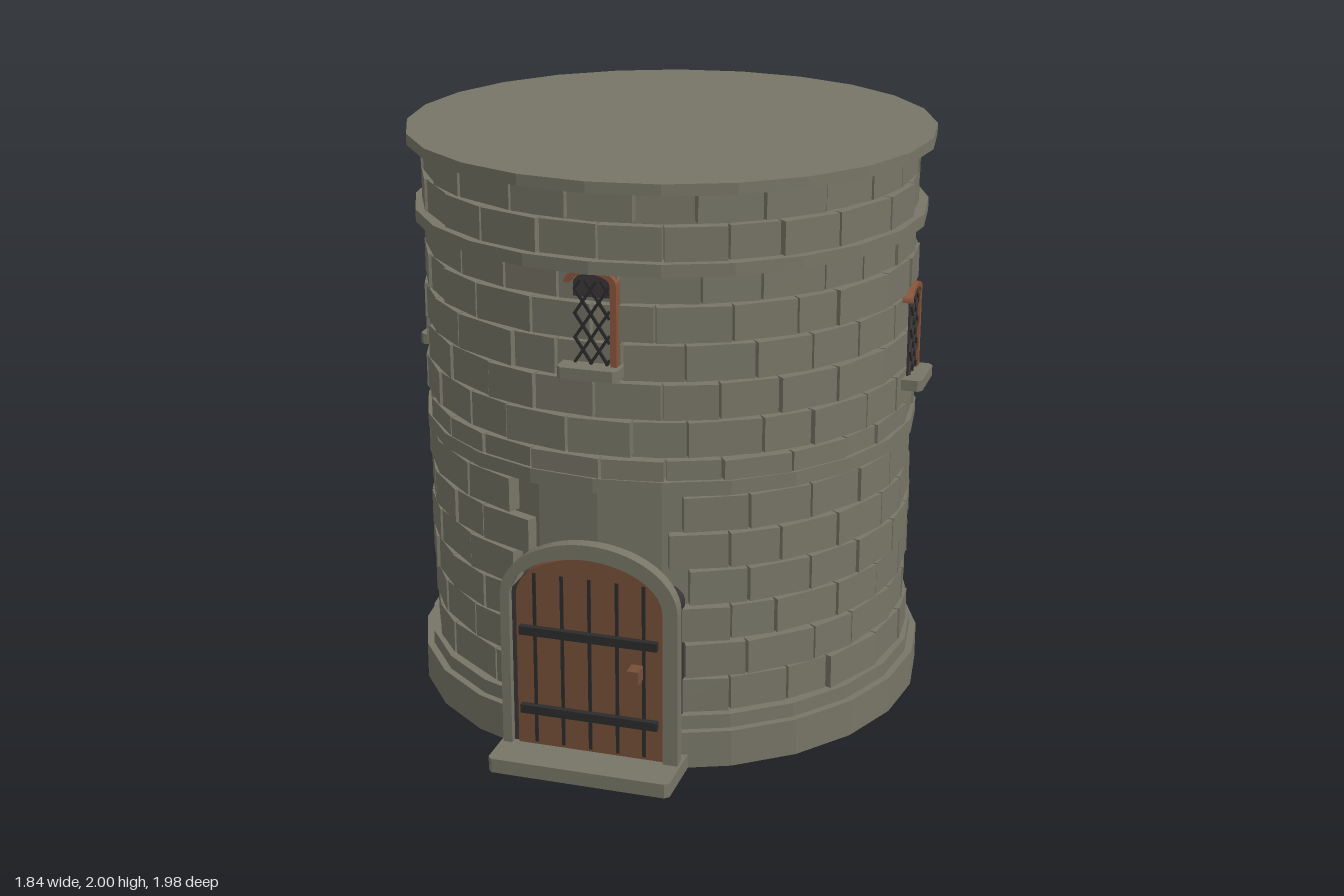
import * as THREE from 'three';
import { mergeGeometries } from 'three/addons/utils/BufferGeometryUtils.js';

const material = (name, color) => {
  const m = new THREE.MeshStandardMaterial({ color });
  m.name = name;
  return m;
};

const AXIS_Z = -0.073; // tower axis, leaving room for the doorstep

export function createModel() {
  const stone = material('stone', 0x777566);
  const wood = material('door wood', 0x754f38);
  const trim = material('window wood', 0x87543a);
  const dark = material('dark opening', 0x3b3335);
  const iron = material('iron', 0x2d2b2c);

  const model = new THREE.Group();
  model.name = 'stoneTower';
  const tower = new THREE.Group();
  tower.name = 'tower';
  tower.position.z = AXIS_Z;
  model.add(tower);

  const add = (parent, name, geometry, mat) => {
    const mesh = new THREE.Mesh(geometry, mat);
    mesh.name = name;
    parent.add(mesh);
    return mesh;
  };
  // box given by its minimum and maximum corners
  const box = (x0, x1, y0, y1, z0, z1) =>
    new THREE.BoxGeometry(x1 - x0, y1 - y0, z1 - z0)
      .translate((x0 + x1) / 2, (y0 + y1) / 2, (z0 + z1) / 2);
  const extrude = (shape, z0, z1) =>
    new THREE.ExtrudeGeometry(shape, { depth: z1 - z0, bevelEnabled: false, curveSegments: 14 })
      .translate(0, 0, z0);
  // slab with its two front corners cut off
  const slab = (w, y0, y1, z0, z1, cut) => {
    const s = new THREE.Shape([[-w, -z0], [-w, -z1 + cut], [-w + cut, -z1], [w - cut, -z1], [w, -z1 + cut], [w, -z0]]
      .map(([x, y]) => new THREE.Vector2(x, y)));
    return extrude(s, y0, y1).rotateX(-Math.PI / 2);
  };
  // upright opening with an elliptical head
  const archShape = (x0, x1, y0, spring, top) => {
    const s = new THREE.Shape();
    s.moveTo(x0, y0);
    s.lineTo(x1, y0);
    s.lineTo(x1, spring);
    s.absellipse((x0 + x1) / 2, spring, (x1 - x0) / 2, top - spring, 0, Math.PI, false);
    s.lineTo(x0, y0);
    return s;
  };

  // solid core and projecting rings
  const rings = [
    ['wallCore', 0.82, 0.02, 1.98], ['plinth', 0.9, 0, 0.13], ['plinthStep', 0.875, 0.13, 0.18],
    ['middleBand', 0.867, 0.96, 1.01], ['upperBand', 0.886, 1.697, 1.74], ['topCap', 0.908, 1.962, 2],
  ];
  for (const [name, r, y0, y1] of rings) {
    const g = new THREE.CylinderGeometry(r, r, y1 - y0, 24).toNonIndexed();
    g.translate(0, (y0 + y1) / 2, 0);
    g.computeVertexNormals();
    add(tower, name, g, stone);
  }

  // staggered courses of uneven blocks
  let seed = 17;
  const random = () => (seed = (seed * 16807) % 2147483647) / 2147483647;
  const COUNT = 25, STEP = Math.PI * 2 / COUNT;
  for (let row = 0; row < 14; row++) {
    const y0 = 0.185 + row * 0.129;
    const y1 = Math.min(y0 + 0.118, 1.965);
    const joints = Array.from({ length: COUNT }, (_, i) =>
      (i + (row % 2) * 0.5 + (random() - 0.5) * 0.3) * STEP);
    joints.push(joints[0] + Math.PI * 2);
    const blocks = [];
    for (let i = 0; i < COUNT; i++) {
      const mid = (joints[i] + joints[i + 1]) / 2;
      const half = (joints[i + 1] - joints[i]) / 2;
      const r = 0.842 + random() * 0.012;
      const clear = row < 4 ? 0.27 : 0.23; // plain wall around the doorway
      if (row < 6 && Math.cos(mid) > 0 && Math.abs(Math.sin(mid)) * r < clear) continue;
      const w = r * Math.tan(half) - 0.005;
      blocks.push(box(-w, w, y0, y1, r - 0.06, r).rotateY(mid));
    }
    add(tower, 'blockCourse' + (row + 1), mergeGeometries(blocks), stone);
  }

  // doorway: step, dark recess, arched surround, planked door and ironwork
  const doorway = new THREE.Group();
  doorway.name = 'doorway';
  model.add(doorway);
  add(doorway, 'doorstep', slab(0.315, 0, 0.05, 0.6, 0.985, 0.015), stone);
  add(doorway, 'doorRecess', extrude(archShape(-0.285, 0.285, 0.05, 0.58, 0.68), 0.7, 0.829), dark);
  const surround = archShape(-0.306, 0.306, 0.05, 0.59, 0.8);
  surround.holes.push(archShape(-0.274, 0.255, 0.0501, 0.59, 0.748));
  add(doorway, 'doorSurround', extrude(surround, 0.81, 0.855), stone);
  add(doorway, 'door', extrude(archShape(-0.255, 0.255, 0.05, 0.59, 0.742), 0.785, 0.84), wood);
  for (const x of [-0.19, -0.095, 0, 0.095, 0.187])
    add(doorway, 'plankGap', box(x - 0.006, x + 0.006, 0.06, 0.675, 0.838, 0.843), iron);
  for (const y of [0.185, 0.472])
    add(doorway, 'doorStrap', box(-0.24, 0.237, y - 0.015, y + 0.015, 0.83, 0.862), iron);
  add(doorway, 'doorHandle', box(0.145, 0.185, 0.345, 0.393, 0.838, 0.895), wood);

  // windows: base height, turn around the tower, bottom of the dark pane above the base
  const windows = [
    ['frontWindow', 1.358, 0, 0.26], ['rightWindow', 1.145, Math.PI / 2, 0.035],
    ['backWindow', 1.4, Math.PI, 0.26], ['leftWindow', 1.145, -Math.PI / 2, 0.035],
  ];
  for (const [name, base, turn, paneBottom] of windows) {
    const win = new THREE.Group();
    win.name = name;
    win.position.y = base;
    win.rotation.y = turn;
    tower.add(win);
    add(win, 'sill', slab(0.102, 0, 0.038, 0.78, 0.918, 0.015), stone);
    add(win, 'jamb', box(0.066, 0.087, 0.038, 0.31, 0.8, 0.872), trim);

    const head = new THREE.Shape();
    head.moveTo(0.087, 0.305);
    head.absellipse(0, 0.305, 0.087, 0.05, 0, Math.PI, false);
    head.lineTo(-0.066, 0.305);
    head.absellipse(0, 0.305, 0.066, 0.032, Math.PI, 0, true);
    add(win, 'archedHead', extrude(head, 0.8, 0.874), trim);
    add(win, 'pane', extrude(archShape(-0.058, 0.066, paneBottom, 0.305, 0.337), 0.855, 0.862), dark);

    // diagonal lattice clipped to the opening
    const bars = [];
    const left = -0.055, right = 0.062, low = 0.04, high = 0.315, slope = 1.5;
    for (const dir of [-1, 1]) {
      for (let k = -1; k < 5; k++) {
        const c = 0.045 + k * 0.08; // height of the bar at x = 0
        const ends = [(low - c) / (slope * dir), (high - c) / (slope * dir)].sort((a, b) => a - b);
        const x0 = Math.max(left, ends[0]), x1 = Math.min(right, ends[1]);
        if (x1 - x0 < 0.01) continue;
        const length = (x1 - x0) * Math.hypot(1, slope);
        const x = (x0 + x1) / 2;
        bars.push(new THREE.BoxGeometry(length, 0.009, 0.008)
          .rotateZ(dir * Math.atan(slope)).translate(x, c + dir * slope * x, 0.864));
      }
    }
    add(win, 'lattice', mergeGeometries(bars), iron);
  }
  return model;
}
